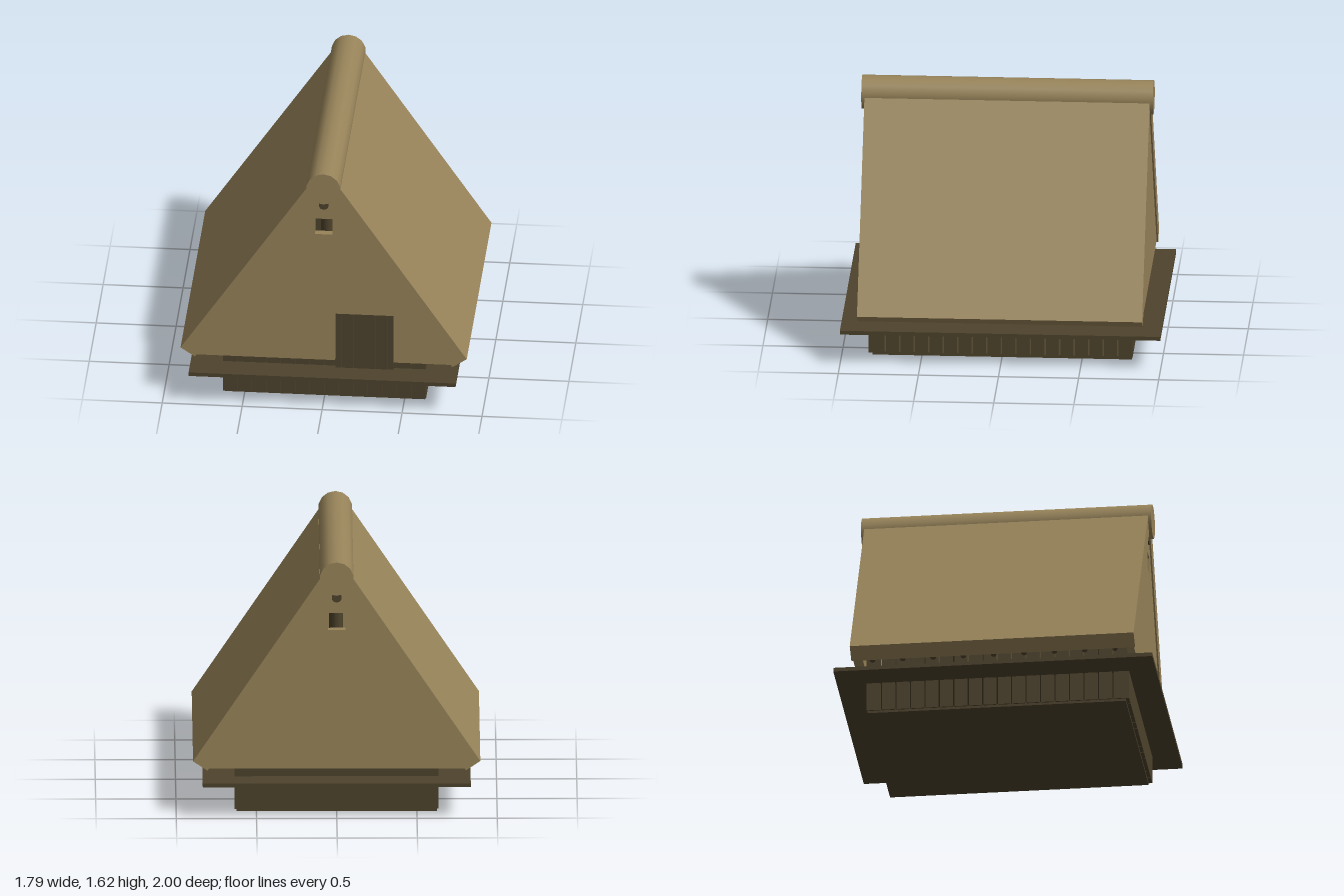
import * as THREE from 'three';

export function createModel() {
  const model = new THREE.Group();
  const thatch = new THREE.MeshStandardMaterial({ color: 0x98845a });
  thatch.name = 'thatch';
  const wood = new THREE.MeshStandardMaterial({ color: 0x4e432c });
  wood.name = 'dark wood';

  const add = (geometry, material, name) => {
    const mesh = new THREE.Mesh(geometry, material);
    mesh.name = name;
    model.add(mesh);
    return mesh;
  };
  // Box given by its minimum and maximum on each axis
  const box = (name, x0, x1, y0, y1, z0, z1) =>
    add(new THREE.BoxGeometry(x1 - x0, y1 - y0, z1 - z0), wood, name)
      .position.set((x0 + x1) / 2, (y0 + y1) / 2, (z0 + z1) / 2);
  // Round pole between two points
  const pole = (name, from, to, radius, sides, material = wood) => {
    const a = new THREE.Vector3(...from), b = new THREE.Vector3(...to);
    const mesh = add(new THREE.CylinderGeometry(radius, radius, a.distanceTo(b), sides), material, name);
    mesh.position.copy(a).lerp(b, 0.5);
    mesh.quaternion.setFromUnitVectors(new THREE.Vector3(0, 1, 0), b.sub(a).normalize());
  };
  const points = list => list.map(([x, y]) => new THREE.Vector2(x, y));
  const slab = (shape, z0, z1) =>
    new THREE.ExtrudeGeometry(shape, { depth: z1 - z0, bevelEnabled: false }).translate(0, 0, z0);

  // Foundation and wide platform
  box('foundation', -0.625, 0.625, 0, 0.02, -0.81, 0.81);
  box('platform', -0.835, 0.835, 0.2, 0.225, -1, 1);

  // Plank walls, with open slits along the sides
  box('backWall', -0.635, 0.635, 0.015, 0.45, -0.815, -0.795);
  const pitch = 0.0907;
  for (let i = 0; i < 14; i++) {
    const x = -0.635 + i * pitch;
    box('frontPlank', x + 0.002, x + pitch - 0.002, 0.015, 0.45, 0.81, 0.832);
  }
  for (let i = 0; i < 18; i++) {
    const z = 0.81 - (i + 1) * pitch + 0.01;
    for (const s of [-1, 1]) {
      const x = s * 0.624;
      box('sidePlank', x - 0.011, x + 0.011, 0.015, 0.45, z + 0.005, z + pitch - 0.005);
    }
  }

  // Door boards
  const doorEdges = [0.07, 0.11, 0.182, 0.253, 0.324, 0.395, 0.435];
  for (let i = 0; i < 6; i++)
    box('doorBoard', doorEdges[i] + 0.001, doorEdges[i + 1] - 0.001, 0.225, 0.62, 0.832, 0.855);

  // Gables with a smoke window; the front one also has the doorway
  const gable = withDoor => {
    const door = withDoor ? [[0.07, 0.29], [0.07, 0.62], [0.435, 0.62], [0.435, 0.29]] : [];
    const shape = new THREE.Shape(points([[-0.8, 0.29], ...door, [0.8, 0.29], [0, 1.475]]));
    shape.holes.push(new THREE.Path(points([[-0.055, 1.18], [-0.055, 1.29], [0.055, 1.29], [0.055, 1.18]])));
    return shape;
  };
  add(slab(gable(true), 0.833, 0.88), thatch, 'frontGable');
  add(slab(gable(false), -0.88, -0.82), thatch, 'backGable');

  // Thick thatched slopes, with rafters showing at the eaves
  for (const s of [-1, 1]) {
    const corners = [[0.895, 0.34], [0.105, 1.51], [0.013, 1.455], [0.805, 0.28]];
    const shape = new THREE.Shape(points(corners.map(([x, y]) => [s * x, y])));
    add(slab(shape, -0.89, 0.89), thatch, s > 0 ? 'leftRoof' : 'rightRoof');
    for (let i = 0; i < 9; i++) {
      const z = -0.76 + i * 0.19;
      pole('rafter', [s * 0.783, 0.288, z], [s * 0.012, 1.432, z], 0.018, 8);
    }
  }

  // Ridge roll, ridge pole and inner posts
  pole('ridgeRoll', [0, 1.515, -0.91], [0, 1.515, 0.91], 0.107, 14, thatch);
  pole('ridgePole', [0, 1.39, -0.887], [0, 1.39, 0.887], 0.032, 10);
  for (const z of [-0.6, 0, 0.6]) pole('post', [0, 0.02, z], [0, 1.38, z], 0.042, 10);

  return model;
}
